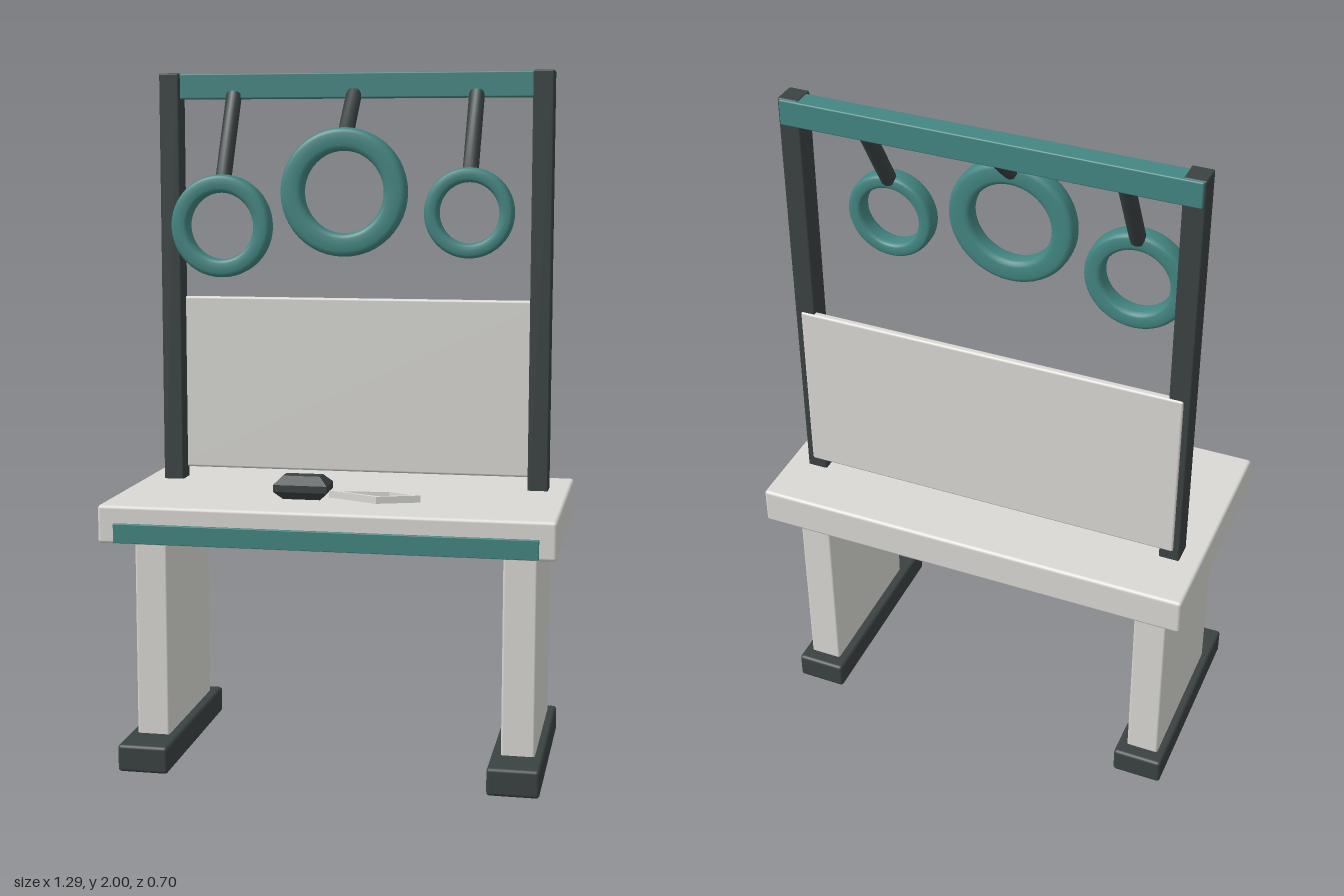
import * as THREE from 'three';
import { RoundedBoxGeometry } from 'three/addons/geometries/RoundedBoxGeometry.js';
import { toCreasedNormals } from 'three/addons/utils/BufferGeometryUtils.js';

export function createModel() {
  const model = new THREE.Group();
  model.name = 'workbench';

  const material = (name, color) => {
    const m = new THREE.MeshStandardMaterial({ color });
    m.name = name;
    return m;
  };
  const white = material('offWhite', 0xdad9d5);
  const teal = material('teal', 0x438682);
  const dark = material('charcoal', 0x3b4242);

  const add = (name, geometry, mat) => {
    const mesh = new THREE.Mesh(geometry, mat);
    mesh.name = name;
    model.add(mesh);
    return mesh;
  };

  // Softly bevelled box given by its [min, max] on each axis
  const box = (name, mat, [x0, x1], [y0, y1], [z0, z1], bevel = 0.007) => {
    const geometry = new RoundedBoxGeometry(x1 - x0, y1 - y0, z1 - z0, 2, bevel);
    geometry.translate((x0 + x1) / 2, (y0 + y1) / 2, (z0 + z1) / 2);
    return add(name, geometry, mat);
  };

  // Table top with a front trim strip
  box('tableTop', white, [-0.645, 0.645], [0.675, 0.785], [-0.35, 0.34], 0.01);
  box('frontTrim', teal, [-0.597, 0.597], [0.68, 0.735], [0.33, 0.35], 0.002);

  // Legs, feet and uprights on both sides
  for (const [side, s] of [['left', 1], ['right', -1]]) {
    const span = (a, b) => (s > 0 ? [a, b] : [-b, -a]);
    box(side + 'Leg', white, span(0.486, 0.582), [0.07, 0.69], [-0.262, 0.197]);
    box(side + 'Foot', dark, span(0.458, 0.606), [0, 0.08], [-0.305, 0.316], 0.01);
    box(side + 'Post', dark, span(0.523, 0.583), [0.775, 2], [-0.182, -0.113], 0.005);
  }

  // Top beam and back panel
  box('topBeam', teal, [-0.577, 0.577], [1.925, 1.998], [-0.188, -0.128], 0.004);
  box('backPanel', white, [-0.565, 0.565], [0.815, 1.338], [-0.187, -0.165], 0.007);

  // Ring with a squarish, soft cross-section, facing the front
  const ringGeometry = (major, tube, depth) => {
    const profile = [];
    const power = 2 / 3.5;
    const soft = (v) => Math.sign(v) * Math.pow(Math.abs(v), power);
    for (let i = 0; i <= 20; i++) {
      const a = (i / 20) * Math.PI * 2;
      profile.push(new THREE.Vector2(major + tube * soft(Math.cos(a)), depth * soft(Math.sin(a))));
    }
    return new THREE.LatheGeometry(profile, 48).rotateX(Math.PI / 2);
  };

  // Hanging rings, each on a slanted arm from the beam
  const rings = [
    ['right', -0.36, 1.557, 0.122, 0.0265],
    ['middle', 0, 1.655, 0.15, 0.0335],
    ['left', 0.36, 1.598, 0.107, 0.021],
  ];
  for (const [name, x, y, major, tube] of rings) {
    add(name + 'Ring', ringGeometry(major, tube, 0.0305), teal).position.set(x, y, 0.015);
    const from = new THREE.Vector3(x, 1.937, -0.137);
    const to = new THREE.Vector3(x, y + major + 0.008, -0.002);
    const arm = add(
      name + 'Arm',
      toCreasedNormals(new THREE.CylinderGeometry(0.023, 0.023, from.distanceTo(to), 10), 0.8),
      dark
    );
    arm.position.copy(from).lerp(to, 0.5);
    arm.quaternion.setFromUnitVectors(new THREE.Vector3(0, 1, 0), from.clone().sub(to).normalize());
  }

  // Chamfered block lying on the table
  const b = 0.024;
  const halfX = 0.078 - b, halfZ = 0.047 - b;
  const blockShape = new THREE.Shape([
    new THREE.Vector2(-halfX, -halfZ), new THREE.Vector2(halfX, -halfZ),
    new THREE.Vector2(halfX, halfZ), new THREE.Vector2(-halfX, halfZ),
  ]);
  const block = new THREE.ExtrudeGeometry(blockShape, {
    depth: 0.068 - 2 * b, bevelThickness: b, bevelSize: b, bevelSegments: 1,
  });
  block.rotateX(-Math.PI / 2);
  add('block', block, dark).position.set(-0.098, 0.785 + b, 0.127);

  // Thin open kite-shaped frame beside the block
  const kite = (points) => points.map(([x, z]) => new THREE.Vector2(x, -z));
  const frameShape = new THREE.Shape(kite([[-0.02, 0.138], [0.128, 0.209], [0.248, 0.166], [0.15, 0.119]]));
  frameShape.holes.push(new THREE.Path(kite([[0.014, 0.143], [0.152, 0.13], [0.221, 0.166], [0.129, 0.197]])));
  const frame = new THREE.ExtrudeGeometry(frameShape, { depth: 0.02, bevelEnabled: false });
  frame.rotateX(-Math.PI / 2);
  add('kiteFrame', frame, white).position.y = 0.792;

  return model;
}
